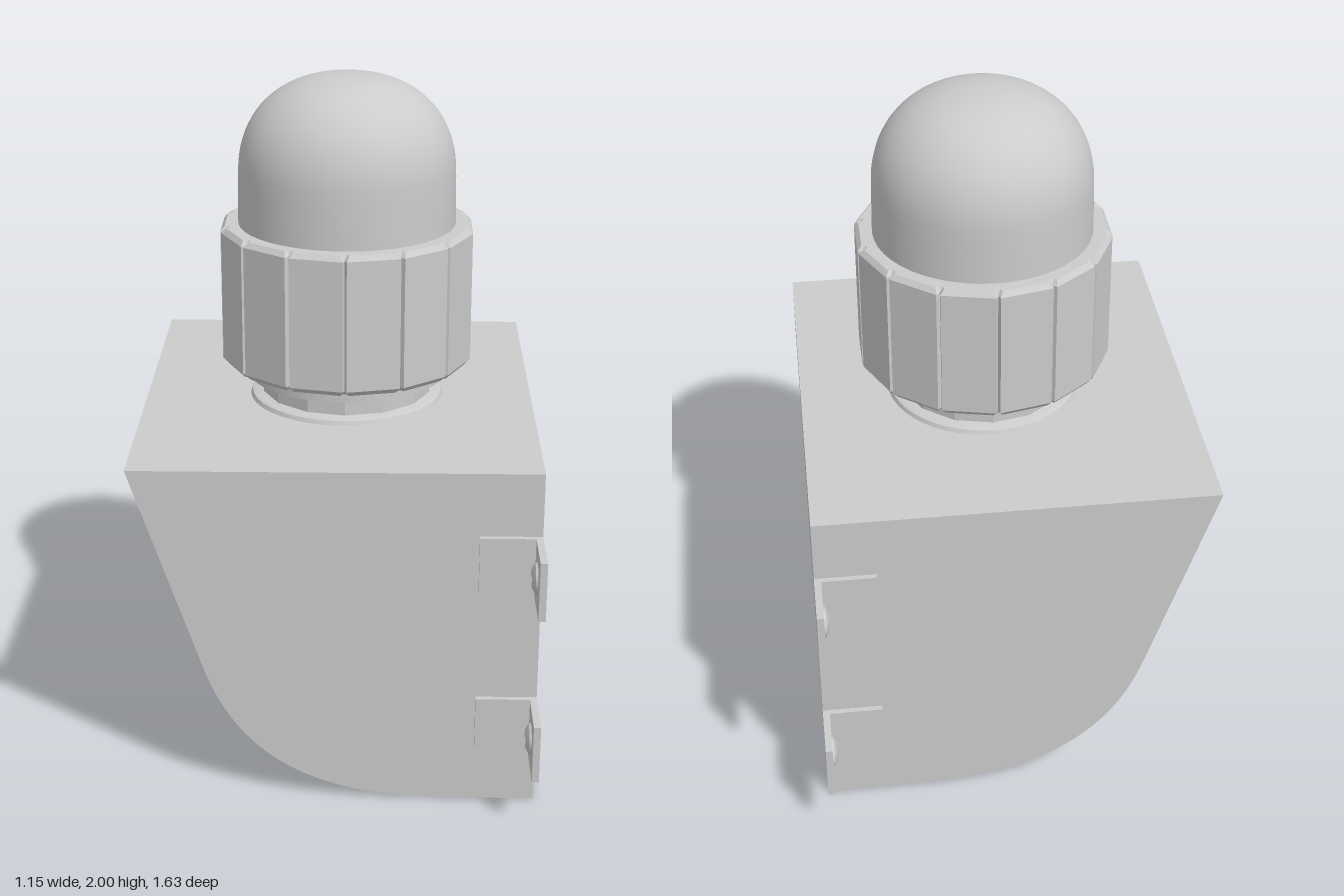
import * as THREE from 'three';
import { toCreasedNormals } from 'three/addons/utils/BufferGeometryUtils.js';

export function createModel() {
  const model = new THREE.Group();
  const grey = new THREE.MeshStandardMaterial({ color: 0xcccccc });
  const add = (name, geometry, x = 0, y = 0, z = 0, parent = model) => {
    const mesh = new THREE.Mesh(geometry, grey);
    mesh.name = name;
    mesh.position.set(x, y, z);
    parent.add(mesh);
    return mesh;
  };
  const lathe = (points, segments) => toCreasedNormals(
    new THREE.LatheGeometry(points.map(([r, h]) => new THREE.Vector2(r, h)), segments), 0.5);

  // Housing: mounting wall, top plate and two curved cheeks, open below and towards -x
  const T = 0.03, X0 = -0.58, X1 = 0.575, TOP = 1.03, Z = 0.645;
  add('mountingWall', new THREE.BoxGeometry(T, TOP - T, 2 * (Z - T)), X1 - T / 2, (TOP - T) / 2, 0);
  const topShape = new THREE.Shape([[X0, TOP], [X0 + 0.01, TOP - T], [X1, TOP - T], [X1, TOP]]
    .map(([x, y]) => new THREE.Vector2(x, y)));
  add('topPlate', new THREE.ExtrudeGeometry(topShape, { depth: 2 * (Z - T), bevelEnabled: false }), 0, 0, T - Z);

  const cheek = new THREE.Shape();
  cheek.moveTo(X1, TOP);
  cheek.lineTo(X0, TOP);
  cheek.lineTo(-0.38, 0.43);
  cheek.bezierCurveTo(-0.28, 0.12, -0.05, 0.005, 0.3, 0.003);
  cheek.lineTo(X1, 0);
  const cheekGeometry = toCreasedNormals(
    new THREE.ExtrudeGeometry(cheek, { depth: T, bevelEnabled: false, curveSegments: 32 }), 0.5);
  add('leftCheek', cheekGeometry, 0, 0, Z - T);
  add('rightCheek', cheekGeometry, 0, 0, -Z);

  // Angle brackets with a round screw head, two on each cheek
  const screw = lathe([[0.045, 0], [0.042, 0.006], [0.028, 0.014], [0.018, 0.016], [0.014, 0.01], [0, 0.01]], 20);
  for (const s of [1, -1]) {
    for (const y of [0.25, 0.755]) {
      const bracket = new THREE.Group();
      bracket.name = 'bracket';
      add('bracketFoot', new THREE.BoxGeometry(0.175, 0.175, 0.016), 0.4875, y, s * (Z + 0.008), bracket);
      add('bracketTab', new THREE.BoxGeometry(0.02, 0.175, 0.17), X1 - 0.01, y, s * (Z + 0.085), bracket);
      add('bracketScrew', screw, X1 - 0.02, y, s * 0.725, bracket).rotation.z = Math.PI / 2;
      model.add(bracket);
    }
  }

  // Sounder horn facing -x, with a domed centre plug
  const horn = lathe([[0, 0.545], [0.3, 0.545], [0.34, 0.3], [0.4, 0], [0.44, -0.24],
    [0.415, -0.24], [0.37, 0], [0.31, 0.3], [0.28, 0.4], [0, 0.4]].reverse(), 64);
  horn.rotateZ(-Math.PI / 2);
  add('horn', horn, 0, 0.45, 0).material = new THREE.MeshStandardMaterial({ color: 0xcccccc, side: THREE.DoubleSide });
  const plug = lathe([[0, -0.02], [0.08, -0.01], [0.15, 0.015], [0.19, 0.05], [0.2, 0.1], [0.2, 0.42]], 40);
  plug.rotateZ(-Math.PI / 2);
  add('hornPlug', plug, 0, 0.45, 0);

  // Beacon: flange, neck and collar
  const beacon = new THREE.Group();
  beacon.name = 'beacon';
  beacon.position.set(0.02, 0, 0.01);
  model.add(beacon);
  add('beaconFlange', lathe([[0.29, 1.03], [0.285, 1.042], [0.27, 1.048], [0, 1.048]], 48), 0, 0, 0, beacon);
  add('beaconNeck', toCreasedNormals(new THREE.CylinderGeometry(0.255, 0.255, 0.08, 14), 0.2), 0, 1.08, 0, beacon);
  add('beaconCollar', lathe([[0, 1.105], [0.3, 1.105], [0.3, 1.14], [0.32, 1.142], [0.32, 1.17], [0, 1.17]], 48), 0, 0, 0, beacon);

  // Fourteen-sided screw ring with a groove at every corner
  const SIDES = 14, R = 0.362, ring = new THREE.Shape();
  for (let i = 0; i < SIDES; i++) {
    const corner = Math.PI / 2 + (i / SIDES) * Math.PI * 2;
    for (const [offset, r] of [[-0.035, R], [-0.02, R - 0.012], [0.02, R - 0.012], [0.035, R]]) {
      const a = corner + offset, x = Math.cos(a) * r, y = Math.sin(a) * r;
      if (i || offset > -0.03) ring.lineTo(x, y); else ring.moveTo(x, y);
    }
  }
  ring.closePath();
  const ringGeometry = new THREE.ExtrudeGeometry(ring,
    { depth: 0.385, bevelThickness: 0.015, bevelSize: 0.012, bevelSegments: 1 });
  ringGeometry.rotateX(-Math.PI / 2);
  add('screwRing', ringGeometry, 0, 1.165, 0, beacon);

  // Rounded lens dome
  const dome = [[0.32, 1.5], [0.32, 1.58], [0.318, 1.7]];
  for (let i = 1; i <= 20; i++) {
    const a = (i / 20) * Math.PI / 2, p = 2 / 2.3;
    dome.push([i === 20 ? 0 : 0.318 * Math.cos(a) ** p, 1.7 + 0.3 * Math.sin(a) ** p]);
  }
  add('lensDome', lathe(dome, 48), 0, 0, 0, beacon);

  return model;
}
